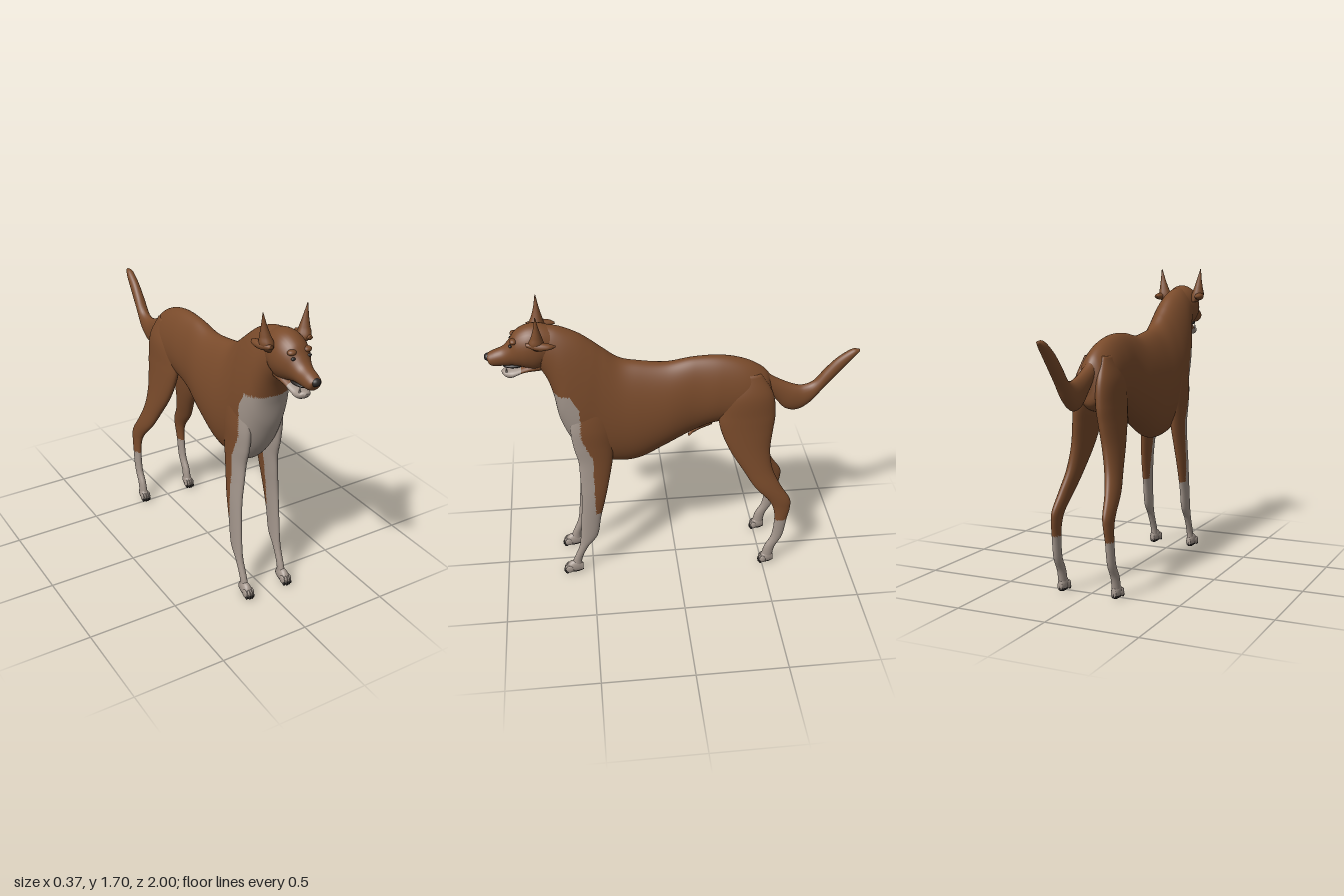
import * as THREE from 'three';

const brown = new THREE.MeshStandardMaterial({ color: 0x7a4b2b });
brown.name = 'brown coat';
const pale = new THREE.MeshStandardMaterial({ color: 0xa3968c });
pale.name = 'pale markings';
const black = new THREE.MeshStandardMaterial({ color: 0x2b2725 });
black.name = 'black nose and pads';
const mats = [brown, pale, black];

// Coat pattern: pale chest bib, front of the forelegs and socks
function coat(y, z) {
  const edge = y > 0.95 ? 0.525 + Math.max(0, y - 1.12) * 0.4
    : Math.max(0.468, 0.525 - (0.95 - y) * 0.4);
  if (y < 1.215 && z > edge) return 1;
  return y < (z > 0 ? 0.43 : 0.32) ? 1 : 0;
}

// Skin over oval sections [zA, yA, zB, yB, halfWidth, x]; A and B are opposite
// ends of each oval. bias widens the B side; paint picks a material per face.
function loft(name, sections, { steps = 40, sides = 24, side = 1, bias = 0, paint = () => 0 } = {}) {
  const curve = (f) => new THREE.CatmullRomCurve3(sections.map(f), false, 'catmullrom', 0.5);
  const a = curve(s => new THREE.Vector3(s[0], s[1], s[4]));
  const b = curve(s => new THREE.Vector3(s[2], s[3], s[5] || 0));
  const pos = [], tris = [];
  const ends = [];
  for (let i = 0; i <= steps; i++) {
    const p = a.getPoint(i / steps), q = b.getPoint(i / steps);
    const cz = (p.x + q.x) / 2, cy = (p.y + q.y) / 2;
    for (let j = 0; j < sides; j++) {
      const t = j / sides * Math.PI * 2, c = Math.cos(t);
      pos.push(side * (q.z + Math.max(p.z, 0.001) * Math.sin(t) * (1 - bias * c)),
        cy + (p.y - q.y) / 2 * c, cz + (p.x - q.x) / 2 * c);
    }
    if (i === 0 || i === steps) ends.push([side * q.z, cy, cz]);
  }
  const first = pos.length / 3;
  pos.push(...ends[0], ...ends[1]);
  for (let j = 0; j < sides; j++) {
    const k = (j + 1) % sides, last = steps * sides;
    for (let i = 0; i < steps; i++) {
      const r = i * sides, n = r + sides;
      tris.push([r + j, r + k, n + k], [r + j, n + k, n + j]);
    }
    tris.push([first, k, j], [first + 1, last + j, last + k]);
  }
  // Make the faces point outwards whichever way the sections run
  const v = i => new THREE.Vector3(pos[3 * i], pos[3 * i + 1], pos[3 * i + 2]);
  let volume = 0;
  const buckets = [[], [], []];
  for (const t of tris) {
    const [p, q, r] = t.map(v);
    volume += p.dot(q.clone().cross(r));
    buckets[paint((p.y + q.y + r.y) / 3, (p.z + q.z + r.z) / 3)].push(t);
  }
  const geo = new THREE.BufferGeometry();
  const index = [];
  buckets.forEach((list, m) => {
    if (list.length) geo.addGroup(index.length, list.length * 3, m);
    for (const [p, q, r] of list) index.push(...(volume < 0 ? [p, r, q] : [p, q, r]));
  });
  geo.setAttribute('position', new THREE.Float32BufferAttribute(pos, 3));
  geo.setIndex(index);
  geo.computeVertexNormals();
  const mesh = new THREE.Mesh(geo, mats);
  mesh.name = name;
  return mesh;
}

function ball(name, mat, x, y, z, sx, sy, sz) {
  const mesh = new THREE.Mesh(new THREE.SphereGeometry(1, 20, 14), mat);
  mesh.position.set(x, y, z);
  mesh.scale.set(sx, sy, sz);
  mesh.name = name;
  return mesh;
}

// Paw with four toes, dark sole and claws
function paw(name, x, z, len) {
  const g = new THREE.Group();
  g.name = name;
  g.add(loft('pawPad', [
    [z, 0.06, z, 0.012, 0.014, x], [z + len * 0.3, 0.085, z + len * 0.3, 0.001, 0.023, x],
    [z + len * 0.65, 0.075, z + len * 0.65, 0.001, 0.025, x],
    [z + len * 0.9, 0.04, z + len * 0.9, 0.004, 0.018, x]
  ], { steps: 24, paint: y => y < 0.022 ? 2 : 1 }));
  for (let i = 0; i < 4; i++) {
    const o = i - 1.5, tz = z + len * (0.78 - 0.06 * Math.abs(o));
    g.add(ball('toe', pale, x + o * 0.014, 0.034, tz, 0.009, 0.024, len * 0.2));
    g.add(ball('claw', black, x + o * 0.014, 0.018, tz + len * 0.14, 0.006, 0.014, len * 0.1));
  }
  return g;
}

export function createModel() {
  const dog = new THREE.Group();
  dog.name = 'dog';

  // Trunk and neck
  dog.add(loft('body', [
    [-0.535, 1.19, -0.535, 1.07, 0.02], [-0.48, 1.26, -0.515, 0.99, 0.075],
    [-0.38, 1.318, -0.40, 0.95, 0.1], [-0.25, 1.35, -0.22, 0.94, 0.102],
    [-0.10, 1.35, -0.10, 0.895, 0.1], [0.05, 1.328, 0.05, 0.815, 0.118],
    [0.20, 1.345, 0.20, 0.735, 0.127], [0.30, 1.37, 0.32, 0.722, 0.13],
    [0.38, 1.43, 0.45, 0.75, 0.132], [0.44, 1.48, 0.56, 0.86, 0.133],
    [0.50, 1.525, 0.63, 1.02, 0.125], [0.56, 1.557, 0.655, 1.17, 0.112],
    [0.62, 1.58, 0.68, 1.27, 0.098], [0.68, 1.59, 0.715, 1.345, 0.085]
  ], { steps: 150, sides: 72, bias: 0.12, paint: coat }));
  dog.add(loft('sheath', [
    [-0.22, 0.98, -0.2, 0.91, 0.015], [-0.16, 0.95, -0.13, 0.885, 0.024],
    [-0.11, 0.90, -0.075, 0.855, 0.024], [-0.09, 0.855, -0.07, 0.845, 0.01]
  ]));
  dog.add(loft('tail', [
    [-0.45, 1.28, -0.46, 1.15, 0.03, 0], [-0.52, 1.215, -0.51, 1.12, 0.036, 0.003],
    [-0.59, 1.175, -0.555, 1.06, 0.037, 0.006], [-0.66, 1.147, -0.61, 1.00, 0.038, 0.01],
    [-0.71, 1.142, -0.68, 0.988, 0.037, 0.01], [-0.765, 1.165, -0.75, 1.035, 0.035, 0.01],
    [-0.82, 1.235, -0.82, 1.125, 0.032, 0.012], [-0.88, 1.302, -0.91, 1.235, 0.028, 0.015],
    [-0.955, 1.354, -0.965, 1.305, 0.022, 0.018], [-0.996, 1.355, -0.998, 1.342, 0.008, 0.02]
  ], { steps: 60 }));

  // Head: skull with muzzle, lower jaw, nose
  const head = new THREE.Group();
  head.name = 'head';
  dog.add(head);
  head.add(loft('skull', [
    [0.62, 1.57, 0.66, 1.37, 0.075], [0.70, 1.598, 0.73, 1.345, 0.094],
    [0.77, 1.595, 0.775, 1.353, 0.094], [0.83, 1.563, 0.81, 1.363, 0.08],
    [0.865, 1.515, 0.85, 1.37, 0.06], [0.90, 1.478, 0.90, 1.37, 0.048],
    [0.95, 1.457, 0.945, 1.37, 0.042], [0.982, 1.44, 0.97, 1.378, 0.033],
    [0.992, 1.425, 0.98, 1.40, 0.012]
  ], { steps: 60, sides: 36 }));
  head.add(loft('lowerJaw', [
    [0.71, 1.41, 0.71, 1.335, 0.06], [0.80, 1.368, 0.80, 1.326, 0.05],
    [0.86, 1.345, 0.865, 1.297, 0.042], [0.9, 1.345, 0.897, 1.303, 0.033],
    [0.918, 1.335, 0.914, 1.318, 0.01]
  ], { steps: 50, paint: (y, z) => z > 0.815 ? 1 : 0 }));
  head.add(ball('nose', black, 0, 1.422, 0.98, 0.024, 0.021, 0.02));
  head.add(ball('mouthLining', black, 0, 1.368, 0.85, 0.034, 0.014, 0.06));

  for (const s of [1, -1]) {
    const word = s > 0 ? 'left' : 'right';
    head.add(ball(word + 'Eye', black, s * 0.046, 1.502, 0.857, 0.012, 0.008, 0.009));
    head.add(ball(word + 'Brow', brown, s * 0.044, 1.528, 0.84, 0.024, 0.015, 0.02));
    const tooth = new THREE.Mesh(new THREE.ConeGeometry(0.006, 0.03, 8), pale);
    tooth.name = word + 'Tooth';
    tooth.position.set(s * 0.024, 1.352, 0.89);
    head.add(tooth);

    // Pointed ear with a folded-back lobe
    head.add(loft(word + 'Ear', [
      [0.74, 1.5, 0.68, 1.5, 0.02, 0.09], [0.762, 1.54, 0.68, 1.54, 0.037, 0.106],
      [0.745, 1.585, 0.69, 1.585, 0.027, 0.113], [0.73, 1.635, 0.702, 1.635, 0.015, 0.119],
      [0.718, 1.7, 0.714, 1.7, 0.002, 0.127]
    ], { side: s, sides: 12 }));
    head.add(loft(word + 'EarLobe', [
      [0.775, 1.55, 0.77, 1.53, 0.012, 0.112], [0.72, 1.558, 0.71, 1.512, 0.026, 0.122],
      [0.66, 1.55, 0.655, 1.52, 0.02, 0.13], [0.625, 1.537, 0.625, 1.527, 0.004, 0.125]
    ], { side: s, sides: 16 }));

    // Foreleg with shoulder
    dog.add(loft(word + 'ForeLeg', [
      [0.50, 1.24, 0.40, 1.24, 0.015, 0.08], [0.56, 1.13, 0.35, 1.13, 0.038, 0.09],
      [0.58, 1.0, 0.34, 1.0, 0.045, 0.095], [0.57, 0.88, 0.35, 0.88, 0.04, 0.096],
      [0.548, 0.78, 0.36, 0.78, 0.035, 0.098], [0.545, 0.68, 0.378, 0.68, 0.03, 0.105],
      [0.543, 0.55, 0.405, 0.55, 0.026, 0.115], [0.552, 0.4, 0.44, 0.4, 0.022, 0.12],
      [0.563, 0.27, 0.465, 0.27, 0.021, 0.122], [0.575, 0.19, 0.522, 0.19, 0.019, 0.122],
      [0.61, 0.1, 0.562, 0.1, 0.018, 0.121], [0.63, 0.04, 0.565, 0.04, 0.02, 0.121]
    ], { side: s, steps: 130, sides: 48, paint: coat }));
    dog.add(paw(word + 'ForePaw', s * 0.122, 0.56, 0.115));

    // Hind leg with thigh and hock
    dog.add(loft(word + 'HindLeg', [
      [-0.34, 1.25, -0.46, 1.25, 0.02, 0.05], [-0.25, 1.13, -0.53, 1.13, 0.05, 0.06],
      [-0.232, 1.0, -0.547, 1.0, 0.052, 0.066], [-0.25, 0.9, -0.537, 0.9, 0.049, 0.075],
      [-0.30, 0.78, -0.525, 0.78, 0.044, 0.09], [-0.372, 0.66, -0.54, 0.66, 0.038, 0.11],
      [-0.44, 0.55, -0.59, 0.55, 0.032, 0.132], [-0.52, 0.46, -0.645, 0.46, 0.026, 0.145],
      [-0.552, 0.4, -0.65, 0.4, 0.022, 0.15], [-0.562, 0.32, -0.635, 0.32, 0.02, 0.154],
      [-0.55, 0.2, -0.615, 0.2, 0.02, 0.156], [-0.512, 0.12, -0.575, 0.12, 0.021, 0.157],
      [-0.495, 0.05, -0.56, 0.05, 0.022, 0.157]
    ], { side: s, steps: 110, sides: 40, paint: coat }));
    dog.add(paw(word + 'HindPaw', s * 0.157, -0.565, 0.09));
  }
  return dog;
}
